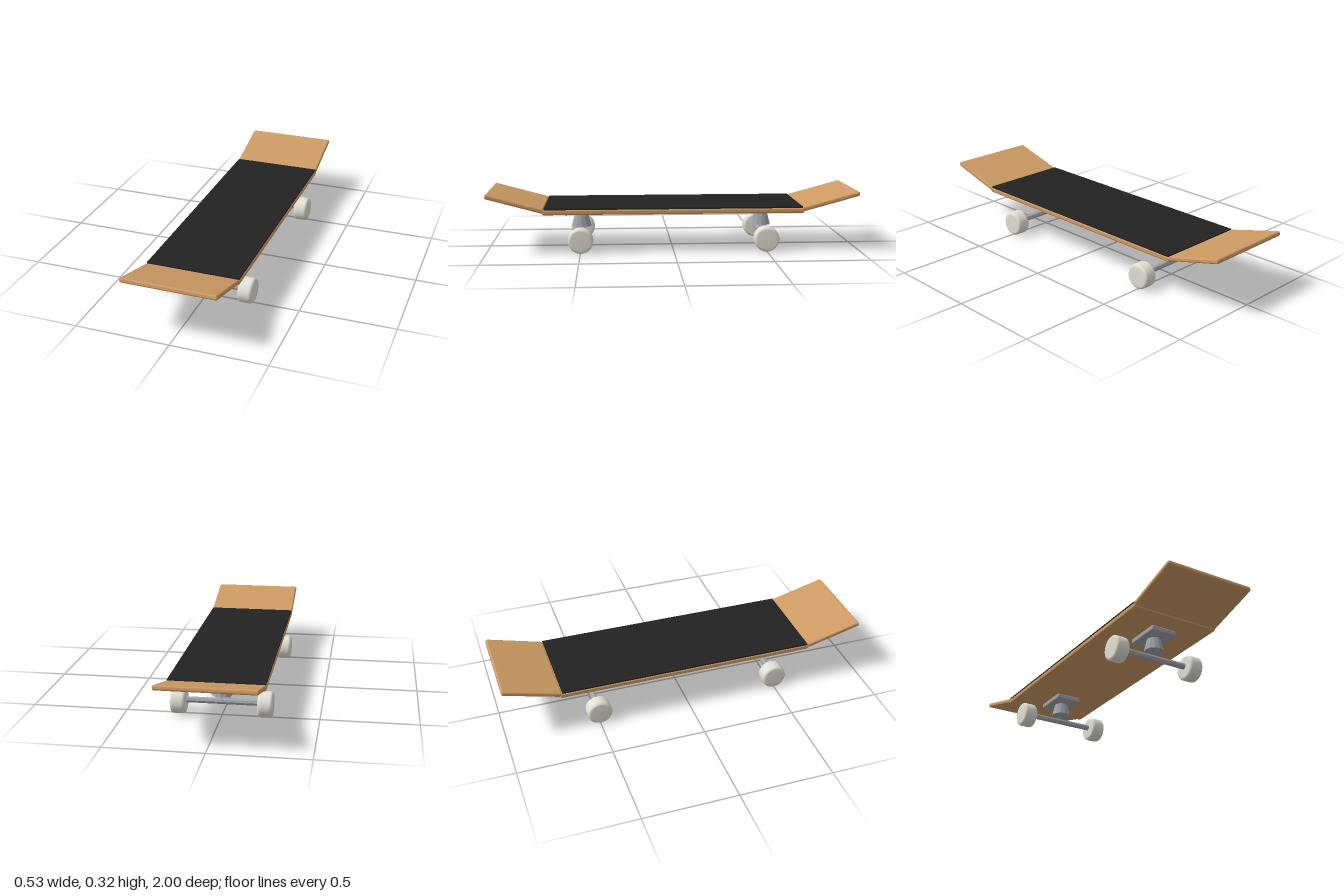
import * as THREE from 'three';
import { RoundedBoxGeometry } from 'three/addons/geometries/RoundedBoxGeometry.js';

const material = (name, color) => {
  const m = new THREE.MeshStandardMaterial({ color });
  m.name = name;
  return m;
};

export function createModel() {
  const wood = material('wood', 0xcd9a63);
  const grip = material('grip black', 0x222222);
  const metal = material('metal grey', 0xa0a4ac);
  const facetedMetal = metal;
  facetedMetal.flatShading = false;
  const rubber = material('wheel cream', 0xe2dfd5);

  const model = new THREE.Group();
  model.name = 'skateboard';

  const add = (parent, name, geometry, mat, x = 0, y = 0, z = 0) => {
    const mesh = new THREE.Mesh(geometry, mat);
    mesh.name = name;
    mesh.position.set(x, y, z);
    parent.add(mesh);
    return mesh;
  };
  // Gives a geometry hard facets
  const faceted = (geometry) => {
    const g = geometry.toNonIndexed();
    g.computeVertexNormals();
    return g;
  };

  // Flat deck with its grip sheet
  add(model, 'deck', new RoundedBoxGeometry(0.496, 0.028, 1.4, 2, 0.009), wood, 0, 0.222, 0);
  add(model, 'gripTape', new THREE.BoxGeometry(0.49, 0.008, 1.38), grip, 0, 0.239, 0);

  // Upturned nose and tail
  const kickGeometry = new RoundedBoxGeometry(0.496, 0.025, 0.315, 2, 0.009);
  for (const side of [1, -1]) {
    const kick = add(model, side > 0 ? 'nose' : 'tail', kickGeometry, wood, 0, 0.269, side * 0.846);
    kick.rotation.x = -side * 0.265;
  }

  // Wheel profile turned around the axle, with rounded rims
  const wheelProfile = [
    [0, -0.039], [0.053, -0.039], [0.061, -0.036], [0.066, -0.03], [0.0675, -0.022],
    [0.0675, 0.022], [0.066, 0.03], [0.061, 0.036], [0.053, 0.039], [0, 0.039],
  ].map(([r, h]) => new THREE.Vector2(r, h));
  const wheelGeometry = new THREE.LatheGeometry(wheelProfile, 32).rotateZ(Math.PI / 2);

  const plateGeometry = new RoundedBoxGeometry(0.147, 0.029, 0.195, 2, 0.008);
  const hangerGeometry = faceted(new THREE.CylinderGeometry(0.036, 0.054, 0.07, 12));
  const axleGeometry = faceted(new THREE.CylinderGeometry(0.0165, 0.0165, 0.42, 8).rotateZ(Math.PI / 2));

  // Trucks, one under each end
  for (const side of [1, -1]) {
    const truck = new THREE.Group();
    truck.name = side > 0 ? 'frontTruck' : 'rearTruck';
    truck.position.z = side * 0.498;
    add(truck, 'baseplate', plateGeometry, metal, 0, 0.193, 0);
    add(truck, 'hanger', hangerGeometry, metal, 0, 0.145, 0);
    add(truck, 'axle', axleGeometry, metal, 0, 0.073, 0);
    for (const x of [1, -1]) {
      add(truck, x > 0 ? 'leftWheel' : 'rightWheel', wheelGeometry, rubber, x * 0.224, 0.0675, 0);
    }
    model.add(truck);
  }
  return model;
}
